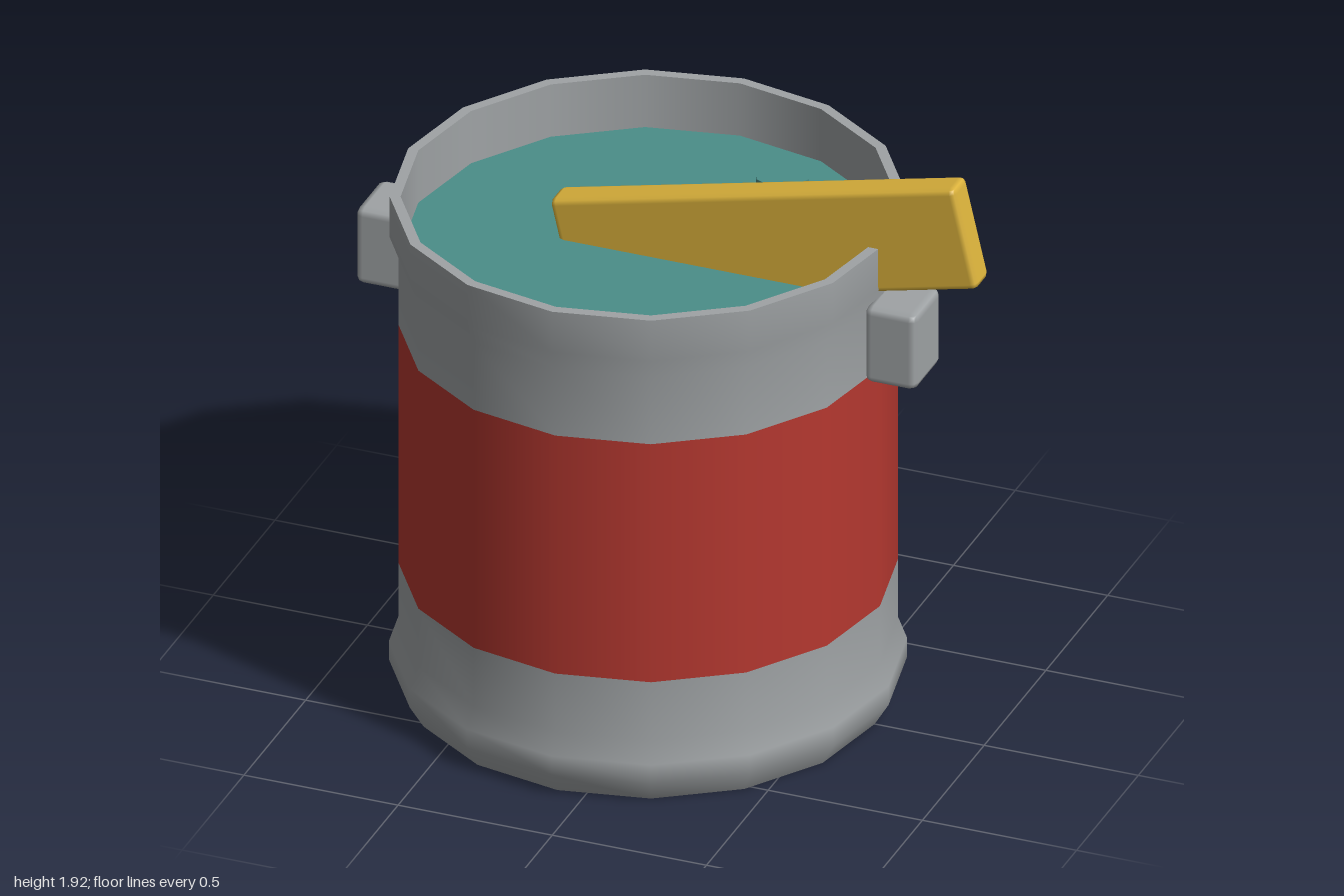
import * as THREE from 'three';
import { RoundedBoxGeometry } from 'three/addons/geometries/RoundedBoxGeometry.js';

export function createModel() {
  const mat = (name, color) => {
    const m = new THREE.MeshStandardMaterial({ color });
    m.name = name;
    return m;
  };
  const metal = mat('grey metal', 0x9fa3a5);
  const red = mat('red label', 0xb53830);
  const teal = mat('teal paint', 0x4b8e89);
  const gold = mat('yellow wood', 0xdcb33c);

  const SIDES = 16;
  const model = new THREE.Group();
  model.name = 'paintCan';
  const can = new THREE.Group();
  can.name = 'can';
  can.position.x = -0.09;
  model.add(can);

  const add = (parent, name, geometry, material, x = 0, y = 0, z = 0) => {
    const mesh = new THREE.Mesh(geometry, material);
    mesh.name = name;
    mesh.position.set(x, y, z);
    parent.add(mesh);
    return mesh;
  };
  // Turned part from [radius, height] pairs
  const turned = (name, profile, material) =>
    add(can, name, new THREE.LatheGeometry(profile.map(p => new THREE.Vector2(...p)), SIDES), material);

  // Can walls, from the floor upward, then over the rim and down inside
  turned('base', [[0, 0], [0.735, 0]], metal);
  turned('lowerWall', [[0.735, 0], [0.78, 0.075], [0.78, 0.14], [0.752, 0.21], [0.752, 0.41]], metal);
  turned('label', [[0.752, 0.41], [0.752, 1.23]], red);
  turned('upperWall', [[0.752, 1.23], [0.752, 1.46], [0.778, 1.53], [0.778, 1.67]], metal);
  turned('rim', [[0.778, 1.67], [0.745, 1.67]], metal);
  turned('innerWall', [[0.745, 1.67], [0.745, 1.48]], metal);

  // Paint surface with a small bubble
  const surface = new THREE.CircleGeometry(0.745, SIDES).rotateX(-Math.PI / 2);
  add(can, 'paintSurface', surface, teal, 0, 1.49, 0);
  add(can, 'paintBubble', new THREE.CylinderGeometry(0.086, 0.086, 0.1, 8), teal, 0.26, 1.52, -0.44);

  // Handle lugs on both sides
  for (const side of [-1, 1]) {
    add(can, side > 0 ? 'leftLug' : 'rightLug',
      new RoundedBoxGeometry(0.17, 0.26, 0.21, 1, 0.025), metal, side * 0.825, 1.36, 0);
  }

  // Stirring stick resting on the rim
  const stick = add(model, 'stirringStick',
    new RoundedBoxGeometry(1.35, 0.34, 0.105, 1, 0.02), gold, 0.303, 1.604, 0);
  stick.rotation.z = 0.229;

  return model;
}
